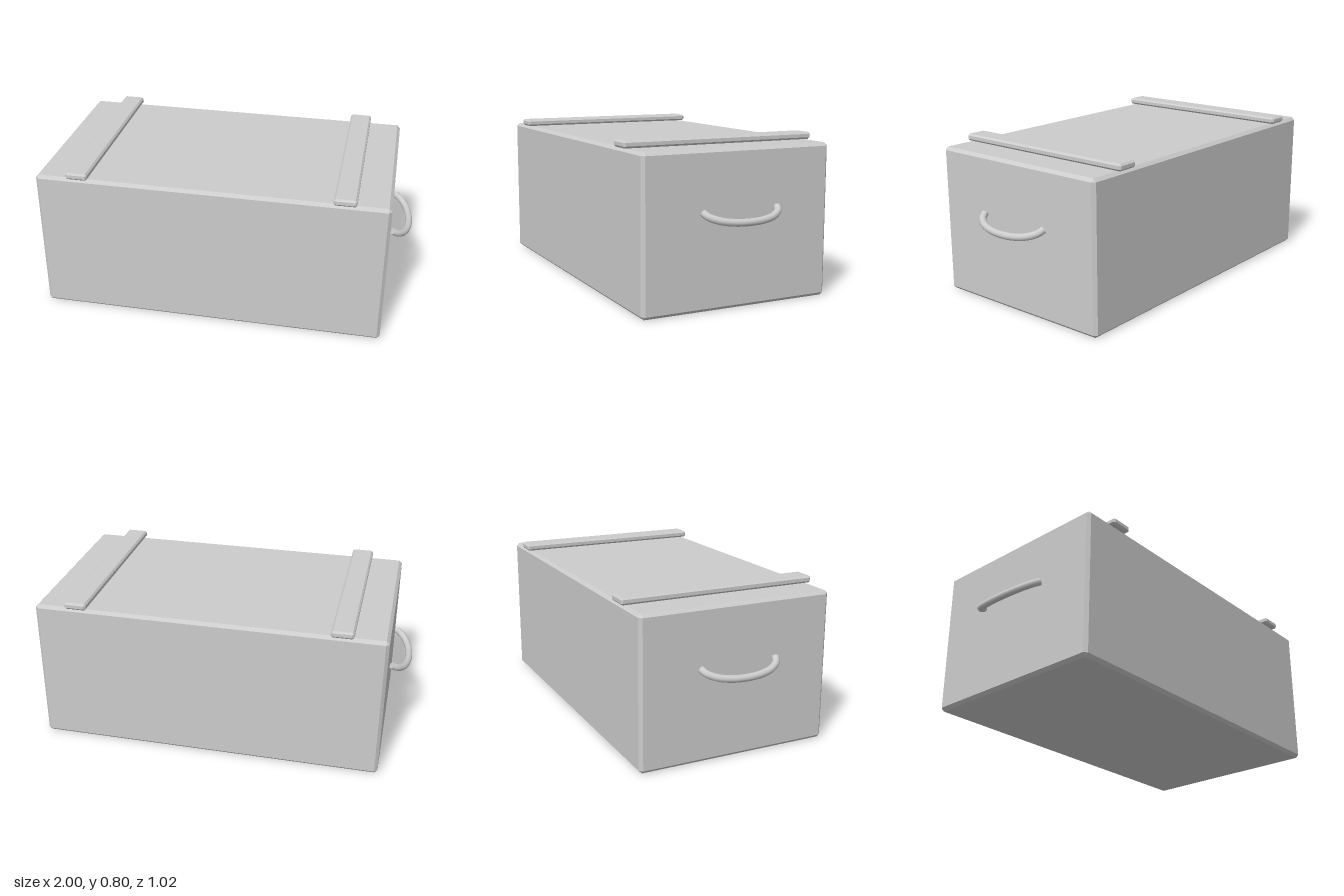
import * as THREE from 'three';
import { ConvexGeometry } from 'three/addons/geometries/ConvexGeometry.js';

// Box with a flat chamfer of size c on every edge
function chamferBox(w, h, d, c) {
  const half = [w / 2, h / 2, d / 2];
  const points = [];
  for (const sx of [-1, 1]) for (const sy of [-1, 1]) for (const sz of [-1, 1]) {
    for (let face = 0; face < 3; face++) {
      const [x, y, z] = half.map((v, i) => (i === face ? v : v - c));
      points.push(new THREE.Vector3(sx * x, sy * y, sz * z));
    }
  }
  return new ConvexGeometry(points);
}

// Bowed grab handle on the +x end, drooping 30 degrees, with closed ends
function makeHandle(material) {
  const radius = 0.018, sides = 12;
  const bow = [[0, -0.2], [0.03, -0.187], [0.063, -0.145], [0.084, -0.08], [0.091, 0],
    [0.084, 0.08], [0.063, 0.145], [0.03, 0.187], [0, 0.2]];
  const curve = new THREE.CatmullRomCurve3(bow.map(([out, z]) =>
    new THREE.Vector3(0.903 + out * 0.866, 0.472 - out * 0.5, z)));

  const handle = new THREE.Group();
  const bar = new THREE.Mesh(new THREE.TubeGeometry(curve, 32, radius, sides), material);
  bar.name = 'handleBar';
  handle.add(bar);
  for (const t of [0, 1]) {
    const cap = new THREE.Mesh(new THREE.CircleGeometry(radius, sides), material);
    const outward = curve.getTangent(t).multiplyScalar(t ? 1 : -1);
    cap.quaternion.setFromUnitVectors(new THREE.Vector3(0, 0, 1), outward);
    cap.position.copy(curve.getPoint(t));
    cap.name = 'handleEnd';
    handle.add(cap);
  }
  return handle;
}

export function createModel() {
  const model = new THREE.Group();
  model.name = 'crate';
  const grey = new THREE.MeshStandardMaterial({ color: 0xcccccc });
  grey.name = 'plainGrey';

  // Main box
  const body = new THREE.Mesh(chamferBox(1.78, 0.76, 1, 0.016), grey);
  body.name = 'body';
  body.position.y = 0.38;
  model.add(body);

  for (const [side, label] of [[1, 'left'], [-1, 'right']]) {
    // Batten across the lid
    const batten = new THREE.Mesh(chamferBox(0.112, 0.035, 1.024, 0.009), grey);
    batten.name = label + 'Batten';
    batten.position.set(side * 0.668, 0.7785, 0);
    model.add(batten);

    // Handle on the end face
    const handle = makeHandle(grey);
    handle.name = label + 'Handle';
    if (side < 0) handle.rotation.y = Math.PI;
    model.add(handle);
  }
  return model;
}
